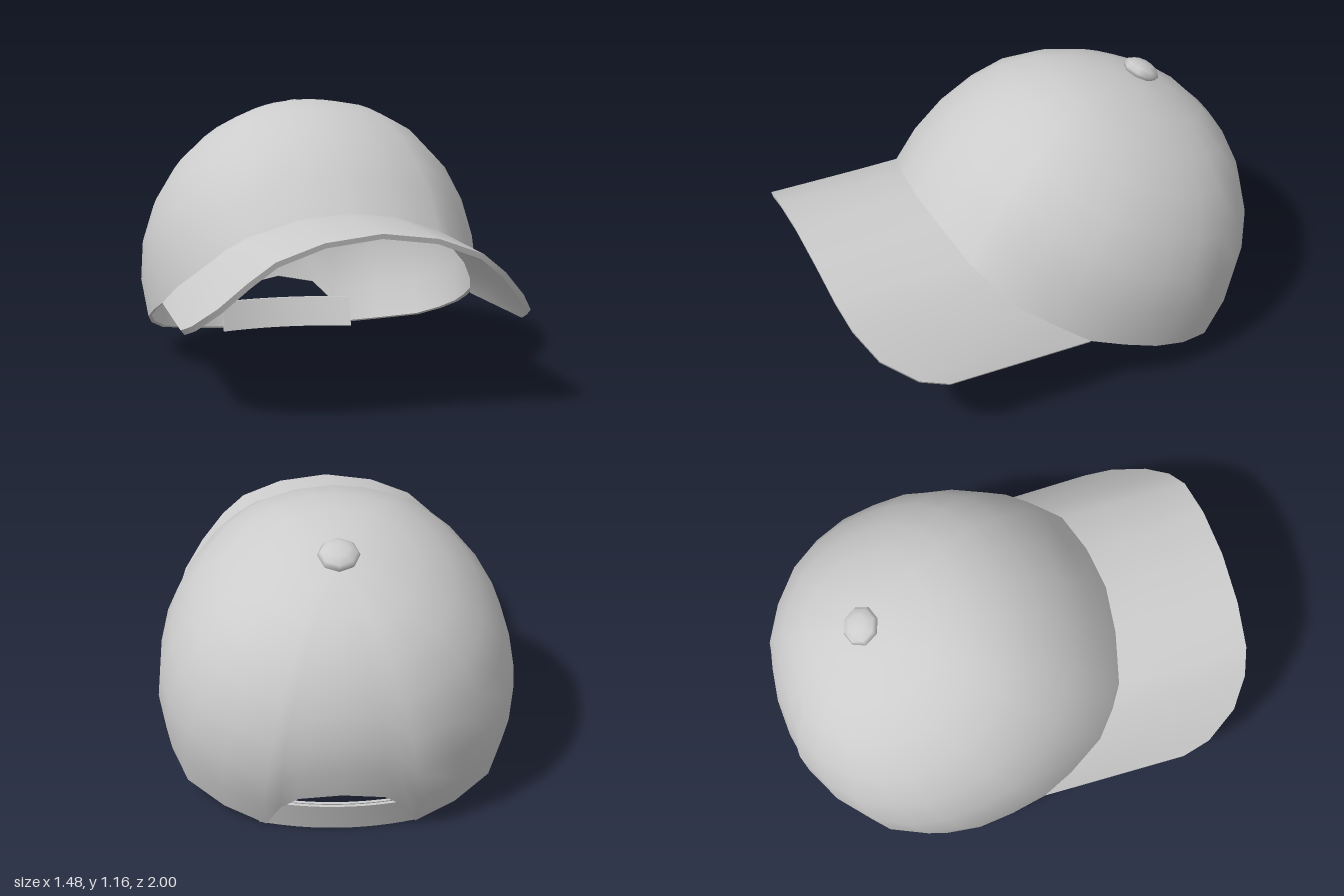
import * as THREE from 'three';
import { toCreasedNormals } from 'three/addons/utils/BufferGeometryUtils.js';

const V = (x, y, z) => new THREE.Vector3(x, y, z);
const CENTRE = V(0, 0.45, -0.27);
const POLE = V(0, 0.63, -0.3).normalize();

// Crown radius by angle in the middle plane: 0 = front, 90 = up, 180 = back
const PROFILE = [[0, 0.83], [22, 0.8], [37, 0.764], [52, 0.742], [72, 0.728], [90, 0.705],
  [105, 0.69], [123, 0.692], [143, 0.722], [162, 0.728], [180, 0.73], [200, 0.72]];

// Half of the rim, from the front middle round to the top of the back opening
const RIM = [[0, 0.75, 0.475], [0.2, 0.725, 0.455], [0.4, 0.655, 0.41], [0.48, 0.6, 0.36],
  [0.57, 0.51, 0.28], [0.65, 0.41, 0.13], [0.695, 0.32, 0], [0.715, 0.26, -0.15],
  [0.72, 0.2, -0.3], [0.69, 0.14, -0.45], [0.62, 0.08, -0.6], [0.47, 0.04, -0.73],
  [0.3, 0.01, -0.82], [0.24, 0.13, -0.88], [0.17, 0.2, -0.925], [0, 0.23, -0.95]];

// Half of the brim's outer edge, paired with the first seven rim points
const BRIM_EDGE = [[0, 0.75, 1], [0.22, 0.722, 0.995], [0.4, 0.655, 0.98], [0.5, 0.575, 0.95],
  [0.6, 0.47, 0.88], [0.68, 0.38, 0.75], [0.705, 0.34, 0.63]];

const mirrorX = ([x, y, z]) => [-x, y, z];
const toVectors = list => list.map(p => V(...p));

// Thick sheet between two matching grids of points, with its open edges walled
function sheet(outer, inner, closed = false) {
  const pos = [];
  const tri = (a, b, c) => {
    const area = b.clone().sub(a).cross(c.clone().sub(a)).length();
    if (area > 1e-8) for (const p of [a, b, c]) pos.push(p.x, p.y, p.z);
  };
  const quad = (a, b, c, d) => { tri(a, b, c); tri(a, c, d); };
  const rows = outer.length - 1, cols = outer[0].length - 1;
  const wall = (i, j, k, l) => quad(outer[k][l], outer[i][j], inner[i][j], inner[k][l]);
  for (let i = 0; i < rows; i++) {
    for (let j = 0; j < cols; j++) {
      quad(outer[i][j], outer[i + 1][j], outer[i + 1][j + 1], outer[i][j + 1]);
      quad(inner[i][j + 1], inner[i + 1][j + 1], inner[i + 1][j], inner[i][j]);
    }
  }
  for (let j = 0; j < cols; j++) {
    wall(rows, j, rows, j + 1);
    if (!closed) wall(0, j + 1, 0, j);
  }
  if (!closed) {
    for (let i = 0; i < rows; i++) {
      wall(i, 0, i + 1, 0);
      wall(i + 1, cols, i, cols);
    }
  }
  const geometry = new THREE.BufferGeometry();
  geometry.setAttribute('position', new THREE.Float32BufferAttribute(pos, 3));
  return toCreasedNormals(geometry, 0.8);
}

function crownRadius(d) {
  let a = THREE.MathUtils.radToDeg(Math.atan2(d.y, d.z));
  if (a < -90) a += 360;
  a = THREE.MathUtils.clamp(a, 0, 199.9);
  const k = PROFILE.findIndex(p => p[0] > a);
  const [a0, r0] = PROFILE[k - 1], [a1, r1] = PROFILE[k];
  const middle = r0 + (r1 - r0) * (a - a0) / (a1 - a0);
  return THREE.MathUtils.lerp(middle, 0.725, d.x * d.x);
}

// Meridians swing from the button down to each rim point
function crownGeometry() {
  const rim = toVectors([...RIM, ...RIM.slice(0, -1).reverse().map(mirrorX)]);
  const rings = 8;
  const outer = [];
  for (let i = 0; i <= rings; i++) {
    const t = i / rings;
    outer.push(rim.map(p => {
      const end = p.clone().sub(CENTRE);
      const length = end.length();
      end.normalize();
      const angle = POLE.angleTo(end);
      const d = POLE.clone().multiplyScalar(Math.sin((1 - t) * angle))
        .addScaledVector(end, Math.sin(t * angle)).normalize();
      const r = crownRadius(d) + (length - crownRadius(end)) * t * t;
      return d.multiplyScalar(r).add(CENTRE);
    }));
  }
  const inner = outer.map(row => row.map(p => p.clone().sub(CENTRE).multiplyScalar(0.98).add(CENTRE)));
  return sheet(outer, inner, true);
}

// Arched brim between the front rim and its outer edge
function brimGeometry() {
  const full = half => toVectors([...half.slice(1).reverse().map(mirrorX), ...half]);
  const from = full(RIM.slice(0, 7)), to = full(BRIM_EDGE);
  const top = [0, 1 / 3, 2 / 3, 1].map(t => from.map((p, j) => p.clone().lerp(to[j], t)));
  const under = top.map(row => row.map(p => V(p.x * 0.978, p.y - 0.02, p.z - 0.004)));
  return sheet(top, under);
}

// Curved band across the back opening; offset moves it inwards
function strapGeometry(x0, x1, y0, y1, offset, rounded) {
  const cols = 12, rows = 2;
  const grid = depth => Array.from({ length: rows + 1 }, (_, i) =>
    Array.from({ length: cols + 1 }, (_, j) => {
      const x = x0 + (x1 - x0) * j / cols;
      const near = rounded ? Math.max(0, 1 - (x1 - x) / 0.06) : 0;
      const half = (y1 - y0) / 2 * Math.sqrt(1 - 0.85 * near * near);
      const y = (y0 + y1) / 2 + half * (2 * i / rows - 1);
      return V(x, y, -0.845 - 0.35 * y + 0.5 * x * x + depth);
    }));
  return sheet(grid(offset), grid(offset + 0.014));
}

export function createModel() {
  const group = new THREE.Group();
  const fabric = new THREE.MeshStandardMaterial({ color: 0xcccccc });
  fabric.name = 'light grey fabric';
  const add = (name, geometry) => {
    const mesh = new THREE.Mesh(geometry, fabric);
    mesh.name = name;
    group.add(mesh);
    return mesh;
  };

  add('crown', crownGeometry());
  add('brim', brimGeometry());
  add('backStrap', strapGeometry(-0.3, 0.33, 0, 0.135, 0, false));
  add('strapTab', strapGeometry(-0.3, 0.28, 0.015, 0.138, 0.016, true));

  // Squashed button on the tilted top
  const button = add('button', new THREE.SphereGeometry(0.084, 8, 6));
  button.scale.set(1, 0.45, 0.95);
  button.quaternion.setFromUnitVectors(V(0, 1, 0), POLE);
  button.position.copy(CENTRE).addScaledVector(POLE, 0.705);

  return group;
}
